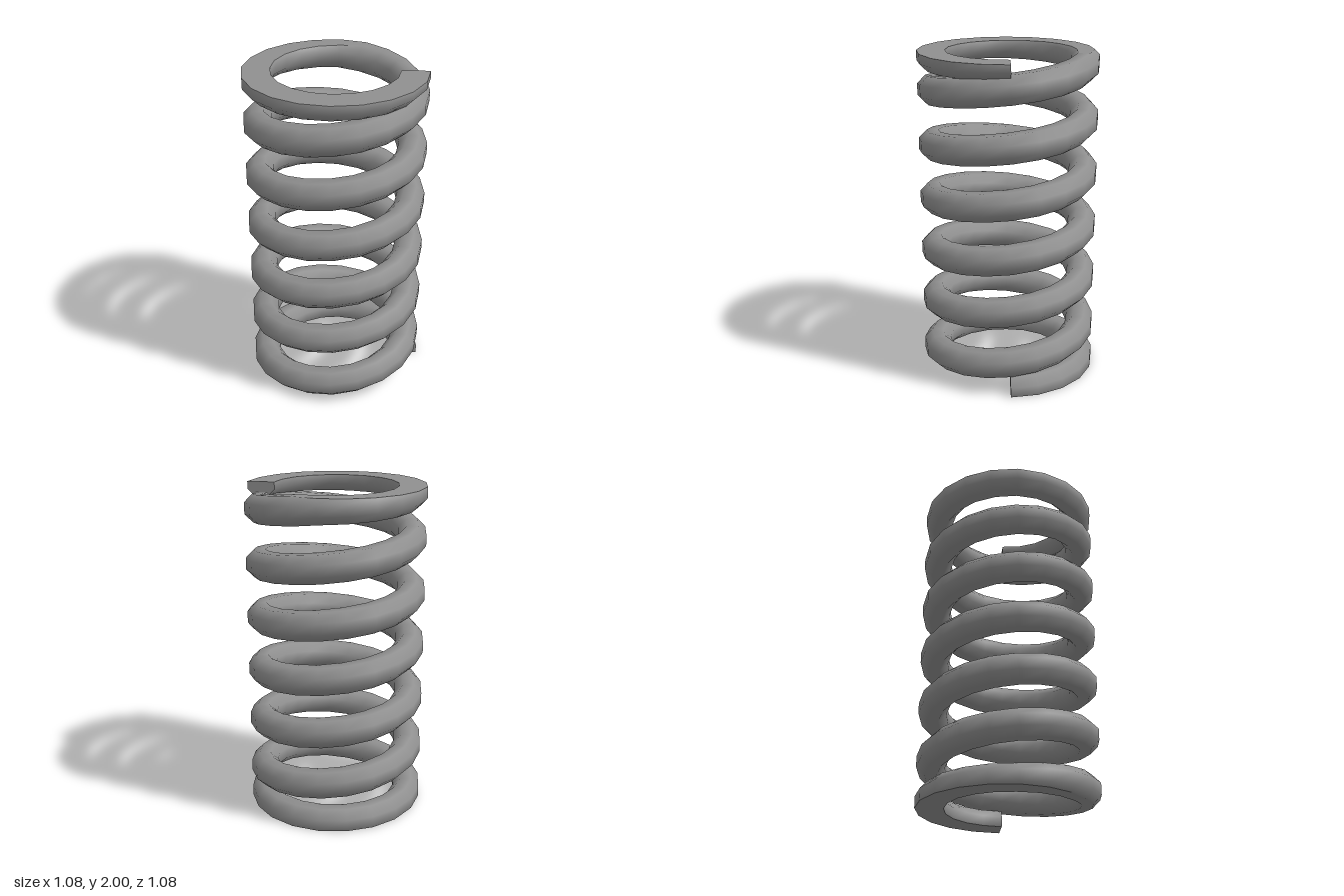
import * as THREE from 'three';

const COIL_RADIUS = 0.457;
const WIRE_RADIUS = 0.09;
const TURNS = 7, STEPS = 20, SIDES = 8;

// Wire centre height by turn: nearly flat end coils, even pitch between
const HEIGHTS = [[0, 0.025], [0.5, 0.045], [0.75, 0.11], [6.25, 1.935], [6.5, 1.965], [7, 1.99]];

function heightAt(s) {
  let k = 1;
  while (k < HEIGHTS.length - 1 && s > HEIGHTS[k][0]) k++;
  const [s0, y0] = HEIGHTS[k - 1], [s1, y1] = HEIGHTS[k];
  return y0 + (y1 - y0) * (s - s0) / (s1 - s0);
}

// One octagonal cross-section, square to the wire
function wireRing(s) {
  const t = s * Math.PI * 2;
  const out = new THREE.Vector3(Math.cos(t), 0, -Math.sin(t));
  const along = new THREE.Vector3(-Math.sin(t), 0, -Math.cos(t));
  const a = Math.max(0, s - 0.05), b = Math.min(TURNS, s + 0.05);
  const tilt = Math.atan((heightAt(b) - heightAt(a)) / ((b - a) * Math.PI * 2 * COIL_RADIUS));
  const up = new THREE.Vector3(0, Math.cos(tilt), 0).addScaledVector(along, -Math.sin(tilt));
  const centre = out.clone().multiplyScalar(COIL_RADIUS).setY(heightAt(s));
  const ring = [];
  for (let j = 0; j < SIDES; j++) {
    const v = (j + 0.5) / SIDES * Math.PI * 2;
    const n = out.clone().multiplyScalar(Math.cos(v)).addScaledVector(up, Math.sin(v));
    ring.push({ p: centre.clone().addScaledVector(n, WIRE_RADIUS), n });
  }
  return { ring, forward: new THREE.Vector3().crossVectors(up, out) };
}

// Split a polygon at a level: [part within, part beyond]
function split(poly, level, sign) {
  const within = [], beyond = [];
  poly.forEach((a, i) => {
    const b = poly[(i + 1) % poly.length];
    const da = (a.p.y - level) * sign, db = (b.p.y - level) * sign;
    if (da <= 0) within.push(a);
    if (da >= 0) beyond.push(a);
    if (da * db < 0) {
      const f = da / (da - db);
      const m = { p: a.p.clone().lerp(b.p, f), n: a.n.clone().lerp(b.n, f).normalize() };
      within.push(m);
      beyond.push(m);
    }
  });
  return [within, beyond];
}

function buildSpring() {
  const positions = [], normals = [];
  const fan = (poly) => {
    for (let i = 1; i + 1 < poly.length; i++) {
      for (const v of [poly[0], poly[i], poly[i + 1]]) {
        positions.push(v.p.x, v.p.y, v.p.z);
        normals.push(v.n.x, v.n.y, v.n.z);
      }
    }
  };
  // Grind the wire flat at the foot and the top
  const add = (poly) => {
    for (const [level, sign] of [[0, -1], [2, 1]]) {
      const [within, beyond] = split(poly, level, sign);
      if (beyond.length > 2) {
        const n = new THREE.Vector3(0, sign, 0);
        fan(beyond.map((v) => ({ p: v.p.clone().setY(level), n })));
      }
      poly = within;
      if (poly.length < 3) return;
    }
    fan(poly);
  };

  // Wire surface
  const rings = [];
  for (let i = 0; i <= TURNS * STEPS; i++) rings.push(wireRing(i / STEPS));
  for (let i = 0; i + 1 < rings.length; i++) {
    for (let j = 0; j < SIDES; j++) {
      const k = (j + 1) % SIDES;
      const a = rings[i].ring[j], b = rings[i].ring[k];
      const d = rings[i + 1].ring[j], c = rings[i + 1].ring[k];
      add([a, d, c]);
      add([a, c, b]);
    }
  }

  // Cut ends of the wire
  const first = rings[0], last = rings[rings.length - 1];
  const back = first.forward.clone().negate();
  add(first.ring.map((v) => ({ p: v.p, n: back })));
  add(last.ring.map((v) => ({ p: v.p, n: last.forward })).reverse());

  const geometry = new THREE.BufferGeometry();
  geometry.setAttribute('position', new THREE.Float32BufferAttribute(positions, 3));
  geometry.setAttribute('normal', new THREE.Float32BufferAttribute(normals, 3));
  return geometry;
}

export function createModel() {
  const steel = new THREE.MeshStandardMaterial({ color: 0x909090 });
  steel.name = 'steel grey';
  const group = new THREE.Group();
  group.name = 'coilSpring';
  const spring = new THREE.Mesh(buildSpring(), steel);
  spring.name = 'springWire';
  group.add(spring);
  return group;
}
